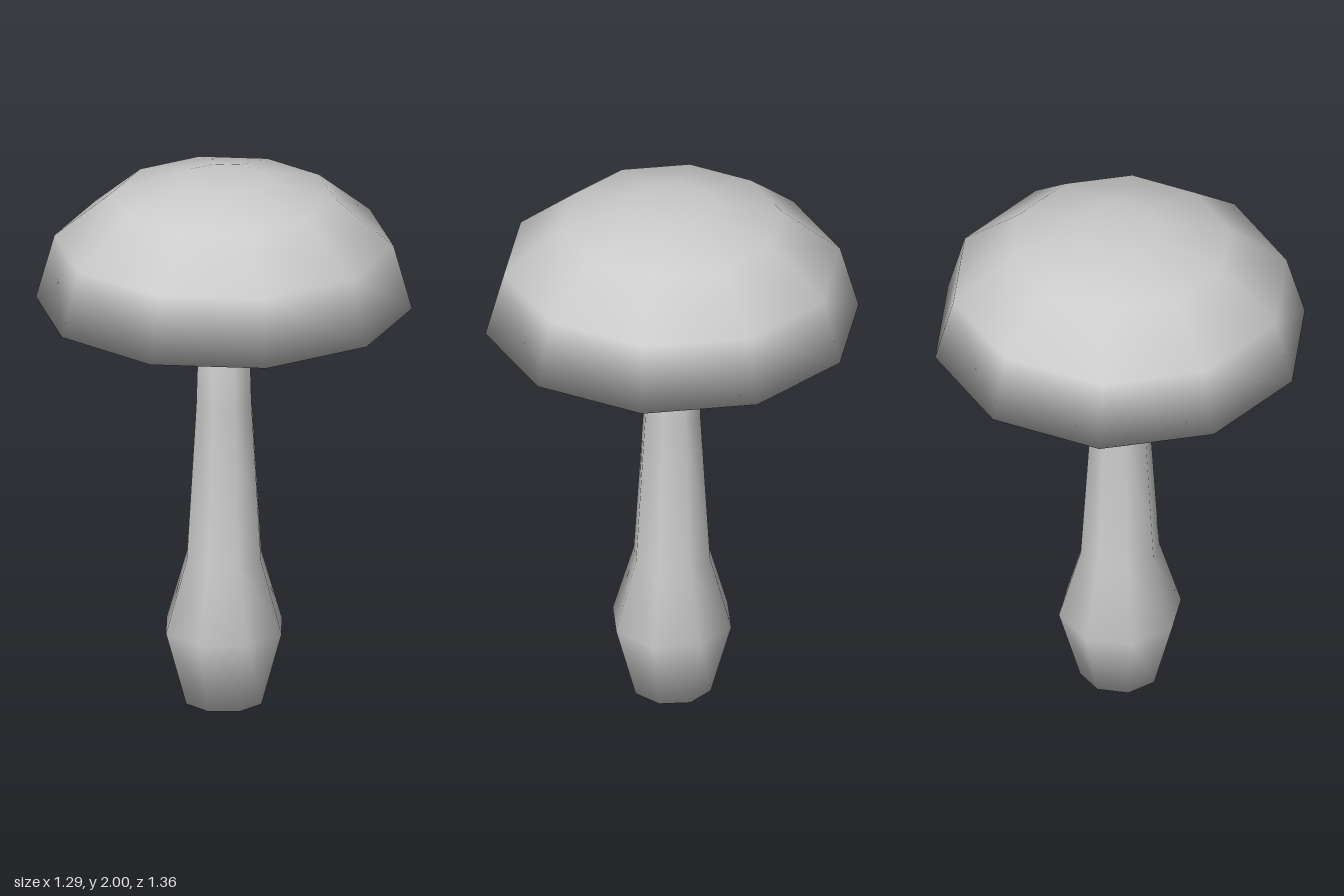
import * as THREE from 'three';

const grey = new THREE.MeshStandardMaterial({ color: 0xcccccc });
grey.name = 'plain grey';

// Closed, smooth-shaded turned part from [radius, height] pairs, listed bottom to top
function turned(name, profile, sides) {
  const points = profile.map(([r, y]) => new THREE.Vector2(r, y));
  const mesh = new THREE.Mesh(new THREE.LatheGeometry(points, sides), grey);
  mesh.name = name;
  return mesh;
}

export function createModel() {
  const model = new THREE.Group();
  model.name = 'mushroom';

  // Ten-sided domed cap with a flat underside
  model.add(turned('cap', [
    [0, 1.525], [0.68, 1.525], [0.613, 1.765], [0.4, 1.94], [0.16, 2], [0, 2],
  ], 10));

  // Eight-sided stem with a swollen foot
  model.add(turned('stem', [
    [0, 0], [0.147, 0], [0.225, 0.28], [0.145, 0.55], [0.108, 1.14], [0.096, 1.53], [0, 1.53],
  ], 8));

  return model;
}
